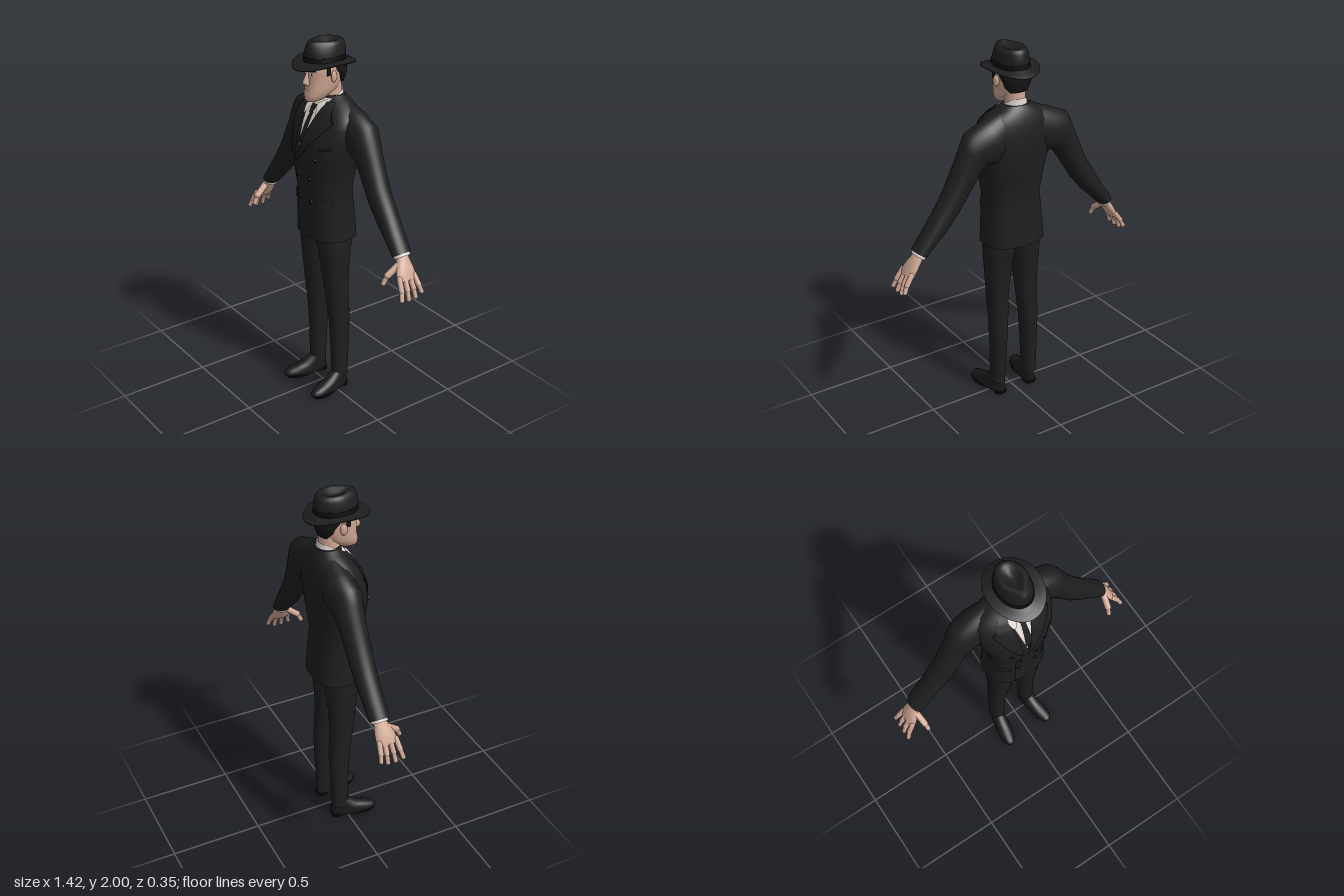
import * as THREE from 'three';

const mat = (name, hex, side = THREE.FrontSide) => {
  const m = new THREE.MeshStandardMaterial({ color: hex, side });
  m.name = name;
  return m;
};

// Interpolated front surface of a stack of ovals [y, halfWidth, zFront, zBack, power]
const frontOf = rings => (x, y) => {
  let i = 0;
  while (i < rings.length - 2 && rings[i + 1][0] < y) i++;
  const a = rings[i], b = rings[i + 1];
  const f = THREE.MathUtils.clamp((y - a[0]) / (b[0] - a[0]), 0, 1);
  const [, w, zf, zb, p] = a.map((v, k) => v + (b[k] - v) * f);
  const u = Math.min(Math.abs(x) / w, 0.98);
  return (zf + zb) / 2 + (zf - zb) / 2 * Math.pow(1 - Math.pow(u, p), 1 / p);
};

// Horizontal oval section; bend lowers front and back, pinch narrows the front
const oval = (y, w, zf, zb, p = 2, { x = 0, bend = 0, pinch = 0, tilt = 0 } = {}) => t => {
  const c = Math.cos(t), s = Math.sin(t);
  const sc = Math.sign(c) * Math.abs(c) ** (2 / p), ss = Math.sign(s) * Math.abs(s) ** (2 / p);
  return [x + sc * w * (1 - pinch * Math.max(0, s)), y - bend * s * s - tilt * s, (zf + zb) / 2 + ss * (zf - zb) / 2];
};

// Limb section from its outer edge point, inner edge point, z centre and half depth
const limbRing = (ux, uy, lx, ly, zc, rz) => t => {
  const c = Math.cos(t) / 2;
  return [(ux + lx) / 2 + c * (ux - lx), (uy + ly) / 2 + c * (uy - ly), zc + Math.sin(t) * rz];
};

// Skin a list of sections, with flat caps
function loft(rings, n = 40, caps = true) {
  const pos = [], idx = [];
  const addRing = r => { for (let j = 0; j < n; j++) pos.push(...r(j / n * Math.PI * 2)); };
  rings.forEach(addRing);
  for (let i = 0; i < rings.length - 1; i++) for (let j = 0; j < n; j++) {
    const k = (j + 1) % n, a = i * n + j, b = i * n + k, c = a + n, d = b + n;
    idx.push(a, c, b, b, c, d);
  }
  if (caps) [rings[0], rings[rings.length - 1]].forEach((r, end) => {
    const s = pos.length / 3, p = r(0), q = r(Math.PI);
    addRing(r);
    pos.push(...p.map((v, k) => (v + q[k]) / 2));
    for (let j = 0; j < n; j++) {
      const a = s + j, b = s + (j + 1) % n;
      idx.push(s + n, end ? b : a, end ? a : b);
    }
  });
  return finish(pos, idx);
}

function finish(pos, idx) {
  const g = new THREE.BufferGeometry();
  g.setAttribute('position', new THREE.Float32BufferAttribute(pos, 3));
  g.setIndex(idx);
  g.computeVertexNormals();
  return g;
}

// Thin four-cornered plate draped over a front surface (corners counterclockwise)
function patch([a, b, c, d], zFn, off, n = 10) {
  const pos = [], idx = [], mix = (p, q, f) => p + (q - p) * f;
  for (let i = 0; i <= n; i++) for (let j = 0; j <= n; j++) {
    const u = j / n, v = i / n;
    const x = mix(mix(a[0], b[0], u), mix(d[0], c[0], u), v), y = mix(mix(a[1], b[1], u), mix(d[1], c[1], u), v);
    pos.push(x, y, zFn(x, y) + off);
    if (i < n && j < n) {
      const k = i * (n + 1) + j;
      idx.push(k, k + 1, k + n + 2, k, k + n + 2, k + n + 1);
    }
  }
  return finish(pos, idx);
}

// Rounded segment between two points
function segment(a, b, r) {
  const p = new THREE.Vector3(...a), q = new THREE.Vector3(...b), d = q.clone().sub(p);
  return new THREE.CapsuleGeometry(r, d.length(), 5, 10)
    .applyQuaternion(new THREE.Quaternion().setFromUnitVectors(new THREE.Vector3(0, 1, 0), d.normalize()))
    .translate(...p.add(q).multiplyScalar(0.5).toArray());
}

function mirrored(g) {
  const m = g.clone().scale(-1, 1, 1), ix = m.index.array;
  for (let i = 0; i < ix.length; i += 3) [ix[i], ix[i + 1]] = [ix[i + 1], ix[i]];
  return m;
}

export function createModel() {
  const root = new THREE.Group();
  root.name = 'suitedMan';
  const D = THREE.DoubleSide;
  const suit = mat('suit black', 0x1e1e1e, D), seam = mat('seam black', 0x0d0d0d, D), felt = mat('hat felt', 0x1d1d1d, D);
  const skin = mat('skin', 0xcfa793), shirt = mat('shirt', 0xe3d8d2, D), hair = mat('hair', 0x151313, D);
  const leather = mat('shoe leather', 0x191919), lip = mat('lips', 0xb08474, D), eyeWhite = mat('eye white', 0xd8d0ca, D);
  const add = (name, g, m) => {
    const mesh = new THREE.Mesh(g, m);
    mesh.name = name;
    root.add(mesh);
  };
  const pair = (name, g, m) => { add(name + 'Left', g, m); add(name + 'Right', mirrored(g), m); };

  // Jacket body
  const torso = [
    [0.94, 0.173, 0.11, -0.155, 2.5], [1.05, 0.165, 0.112, -0.148, 2.5], [1.2, 0.153, 0.117, -0.137, 2.4],
    [1.32, 0.175, 0.132, -0.153, 2.3], [1.42, 0.203, 0.139, -0.165, 2.2], [1.5, 0.213, 0.124, -0.167, 2.2],
    [1.57, 0.215, 0.097, -0.165, 2.2], [1.62, 0.205, 0.07, -0.157, 2.2], [1.66, 0.165, 0.042, -0.147, 2.1],
    [1.69, 0.108, 0.016, -0.132, 2], [1.71, 0.075, 0, -0.118, 2]];
  const chest = frontOf(torso);
  add('jacketBody', loft(torso.map(r => oval(...r)), 56), suit);
  // Sleeves, listed from wrist to shoulder
  pair('sleeve', loft([
    [0.617, 1.045, 0.553, 1.003, -0.06, 0.054], [0.56, 1.125, 0.495, 1.06, -0.062, 0.057],
    [0.5, 1.215, 0.425, 1.125, -0.065, 0.06], [0.43, 1.325, 0.35, 1.215, -0.065, 0.064],
    [0.365, 1.465, 0.275, 1.33, -0.07, 0.068], [0.33, 1.545, 0.228, 1.4, -0.072, 0.076],
    [0.298, 1.61, 0.195, 1.42, -0.073, 0.084], [0.2, 1.655, 0.15, 1.42, -0.075, 0.088],
    [0.1, 1.69, 0.1, 1.44, -0.075, 0.07]].map(r => limbRing(...r)), 32), suit);
  pair('shirtCuff', loft([[0.62, 1.03, 0.562, 0.988, -0.06, 0.045], [0.608, 1.05, 0.55, 1.01, -0.06, 0.045]]
    .map(r => limbRing(...r)), 24), shirt);

  // Hands
  pair('palm', loft([
    [0.668, 0.915, 0.638, 0.9, -0.045, 0.05], [0.663, 0.935, 0.625, 0.915, -0.045, 0.059],
    [0.642, 0.975, 0.6, 0.95, -0.05, 0.052], [0.617, 1.015, 0.575, 0.985, -0.057, 0.037],
    [0.6, 1.04, 0.56, 1.01, -0.06, 0.035]].map(r => limbRing(...r)), 20), skin);
  [[0.002, 0.022, 0.006], [-0.03, -0.022, 0], [-0.062, -0.065, 0.002], [-0.09, -0.103, 0.02]].forEach(([z0, z1, up], i) => {
    const mid = [0.68, 0.872 + up / 2, (z0 + z1) / 2];
    pair('finger' + (i + 1), segment([0.648, 0.928, z0], mid, 0.0145), skin);
    pair('fingertip' + (i + 1), segment(mid, [0.696, 0.828 + up, z1], 0.012), skin);
  });
  pair('thumbBase', segment([0.603, 0.98, -0.025], [0.593, 0.935, 0.035], 0.018), skin);
  pair('thumbTip', segment([0.593, 0.935, 0.035], [0.588, 0.895, 0.056], 0.013), skin);

  // Trousers: y, inner x, outer x, front z, back z
  pair('trouserLeg', loft([
    [0.075, 0.065, 0.143, 0.012, -0.085], [0.12, 0.064, 0.143, 0.01, -0.083], [0.3, 0.055, 0.145, 0.014, -0.092],
    [0.45, 0.047, 0.147, 0.024, -0.096], [0.6, 0.036, 0.15, 0.042, -0.086], [0.75, 0.017, 0.155, 0.06, -0.092],
    [0.86, 0.001, 0.16, 0.072, -0.105], [0.9, -0.01, 0.162, 0.076, -0.11], [1.0, -0.01, 0.15, 0.08, -0.115]]
    .map(([y, xi, xo, zf, zb]) => oval(y, (xo - xi) / 2, zf, zb, 2.2, { x: (xi + xo) / 2 })), 32), suit);

  // Shoes, turned slightly outward
  const shoePart = rings => loft(rings.map(r => oval(...r)), 28).rotateY(0.17).translate(0.108, 0, 0);
  pair('shoe', shoePart([
    [0.012, 0.042, 0.168, -0.085, 2.3], [0.025, 0.045, 0.176, -0.088, 2.3], [0.045, 0.042, 0.162, -0.086, 2.2],
    [0.06, 0.039, 0.115, -0.085], [0.075, 0.037, 0.065, -0.085], [0.11, 0.034, 0.012, -0.08]]), leather);
  pair('shoeSole', shoePart([[0, 0.042, 0.16, 0.01, 2.2], [0.016, 0.045, 0.174, 0.0, 2.2]]), seam);
  pair('shoeHeel', shoePart([[0, 0.034, -0.025, -0.086, 2.6], [0.016, 0.036, -0.02, -0.089, 2.6]]), seam);

  // Shirt front, tie and collar
  add('shirtFront', patch([[-0.012, 1.42], [-0.01, 1.42], [0.065, 1.7], [-0.065, 1.7]], chest, 0.003, 14), shirt);
  add('tieBlade', patch([[-0.014, 1.42], [0.0, 1.42], [0.013, 1.63], [-0.013, 1.63]], chest, 0.006), seam);
  add('tieWide', patch([[-0.024, 1.47], [0.02, 1.47], [0.013, 1.63], [-0.013, 1.63]], chest, 0.007), suit);
  add('tieKnot', patch([[-0.013, 1.625], [0.013, 1.625], [0.022, 1.668], [-0.022, 1.668]], chest, 0.014), suit);
  add('shirtCollar', loft([oval(1.67, 0.07, 0.03, -0.115, 2, { tilt: 0.02 }), oval(1.715, 0.06, 0.02, -0.11, 2, { tilt: 0.03 })], 32, false), shirt);
  pair('collarWing', patch([[0.008, 1.672], [0.05, 1.61], [0.068, 1.65], [0.055, 1.7]], chest, 0.012), shirt);

  // Lapels with a dark edge below each
  const lapel = (name, s, bottom, lift) => {
    const flip = q => (s > 0 ? q : q.map(([x, y]) => [-x, y]).reverse());
    const body = [[bottom[0] * s, bottom[1]], [0.155, 1.6], [0.1, 1.672], [0.062, 1.69]];
    const edge = [[bottom[0] * s, bottom[1] - 0.008], [0.162, 1.602], [0.1, 1.679], [0.06, 1.69]];
    const neck = [[0.058, 1.69], [0.072, 1.62], [0.125, 1.645], [0.095, 1.692]];
    add(name + 'Edge', patch(flip(edge), chest, lift - 0.002), seam);
    add(name, patch(flip(body), chest, lift), suit);
    add(name + 'Collar', patch(flip(neck), chest, lift + 0.002), suit);
  };
  lapel('lapelRight', -1, [-0.04, 1.37], 0.01);
  lapel('lapelLeft', 1, [-0.025, 1.37], 0.014);

  // Jacket opening, pockets and buttons
  add('openingDiagonal', patch([[-0.07, 1.28], [-0.066, 1.28], [-0.024, 1.37], [-0.029, 1.37]], chest, 0.003), seam);
  add('openingSeam', patch([[-0.07, 0.945], [-0.066, 0.945], [-0.066, 1.28], [-0.07, 1.28]], chest, 0.003), seam);
  pair('pocketShadow', patch([[0.088, 1.13], [0.15, 1.13], [0.148, 1.175], [0.088, 1.175]], chest, 0.004), seam);
  pair('pocketFlap', patch([[0.09, 1.134], [0.148, 1.134], [0.146, 1.173], [0.09, 1.173]], chest, 0.007), suit);
  add('breastPocket', patch([[0.115, 1.455], [0.175, 1.47], [0.175, 1.485], [0.115, 1.47]], chest, 0.005), seam);
  [[0.098, 1.405], [0.05, 1.285], [0.05, 1.155]].forEach(([x, y], i) => {
    const b = new THREE.CylinderGeometry(0.01, 0.011, 0.008, 14).rotateX(Math.PI / 2).translate(x, y, chest(x, y) + 0.003);
    pair('button' + (i + 1), b, seam);
  });

  // Neck and head
  add('neck', loft([oval(1.64, 0.056, 0.015, -0.105), oval(1.72, 0.053, 0.008, -0.103), oval(1.8, 0.056, 0.01, -0.1)], 28), skin);
  const head = [
    [1.688, 0.025, 0.096, 0.04, 2], [1.698, 0.042, 0.106, 0.0, 2.1], [1.725, 0.058, 0.107, -0.035, 2.2],
    [1.755, 0.069, 0.1, -0.08, 2.2], [1.8, 0.076, 0.097, -0.102, 2.2], [1.84, 0.079, 0.097, -0.113, 2.2],
    [1.865, 0.08, 0.104, -0.117, 2.1], [1.92, 0.074, 0.095, -0.11, 2]];
  const face = frontOf(head);
  add('head', loft(head.map(r => oval(...r)), 40), skin);
  add('hair', loft([
    oval(1.775, 0.052, -0.062, -0.106), oval(1.8, 0.07, -0.03, -0.114), oval(1.83, 0.082, -0.018, -0.121),
    oval(1.85, 0.084, 0.02, -0.124), oval(1.9, 0.085, 0.045, -0.124)], 36), hair);
  pair('sideburn', new THREE.BoxGeometry(0.006, 0.05, 0.022).translate(0.079, 1.855, 0.022), hair);
  pair('ear', new THREE.SphereGeometry(1, 14, 10).scale(0.011, 0.031, 0.019).rotateY(0.3).translate(0.084, 1.822, -0.006), skin);

  // Facial features
  add('nose', loft([
    oval(1.775, 0.012, 0.108, 0.08), oval(1.784, 0.018, 0.124, 0.08), oval(1.795, 0.015, 0.126, 0.08),
    oval(1.82, 0.009, 0.114, 0.08), oval(1.85, 0.008, 0.102, 0.08)], 16), skin);
  add('mouth', patch([[-0.024, 1.748], [0.024, 1.748], [0.022, 1.756], [-0.022, 1.756]], face, 0.003), lip);
  pair('eye', patch([[0.02, 1.83], [0.046, 1.831], [0.043, 1.841], [0.022, 1.84]], face, 0.002, 4), eyeWhite);
  pair('iris', patch([[0.029, 1.83], [0.037, 1.83], [0.037, 1.84], [0.029, 1.84]], face, 0.004, 3), hair);
  pair('eyebrow', patch([[0.014, 1.849], [0.054, 1.853], [0.052, 1.859], [0.014, 1.856]], face, 0.004, 4), hair);

  // Hat: dipped brim, band and pinched, dented crown
  add('hatBrim', loft([
    oval(1.89, 0.078, 0.1, -0.12), oval(1.884, 0.11, 0.137, -0.148, 2, { bend: 0.01 }),
    oval(1.893, 0.139, 0.168, -0.177, 2, { bend: 0.028 }), oval(1.899, 0.139, 0.168, -0.177, 2, { bend: 0.028 }),
    oval(1.893, 0.11, 0.137, -0.148, 2, { bend: 0.01 }), oval(1.9, 0.078, 0.1, -0.12)], 48, false), felt);
  add('hatBand', loft([oval(1.888, 0.089, 0.11, -0.127), oval(1.922, 0.0865, 0.107, -0.126)], 40), seam);
  add('hatCrown', loft([
    oval(1.885, 0.087, 0.108, -0.125), oval(1.935, 0.084, 0.105, -0.125, 2, { pinch: 0.06 }),
    oval(1.97, 0.078, 0.1, -0.121, 2, { pinch: 0.2 }), oval(1.99, 0.07, 0.09, -0.112, 2, { pinch: 0.32, tilt: -0.003 }),
    oval(1.997, 0.058, 0.075, -0.098, 2, { pinch: 0.4, tilt: -0.003 }), oval(1.992, 0.043, 0.058, -0.08, 2, { pinch: 0.45 }),
    oval(1.976, 0.022, 0.03, -0.055, 2, { pinch: 0.4 }), oval(1.974, 0.004, -0.005, -0.02)], 40), felt);
  return root;
}
